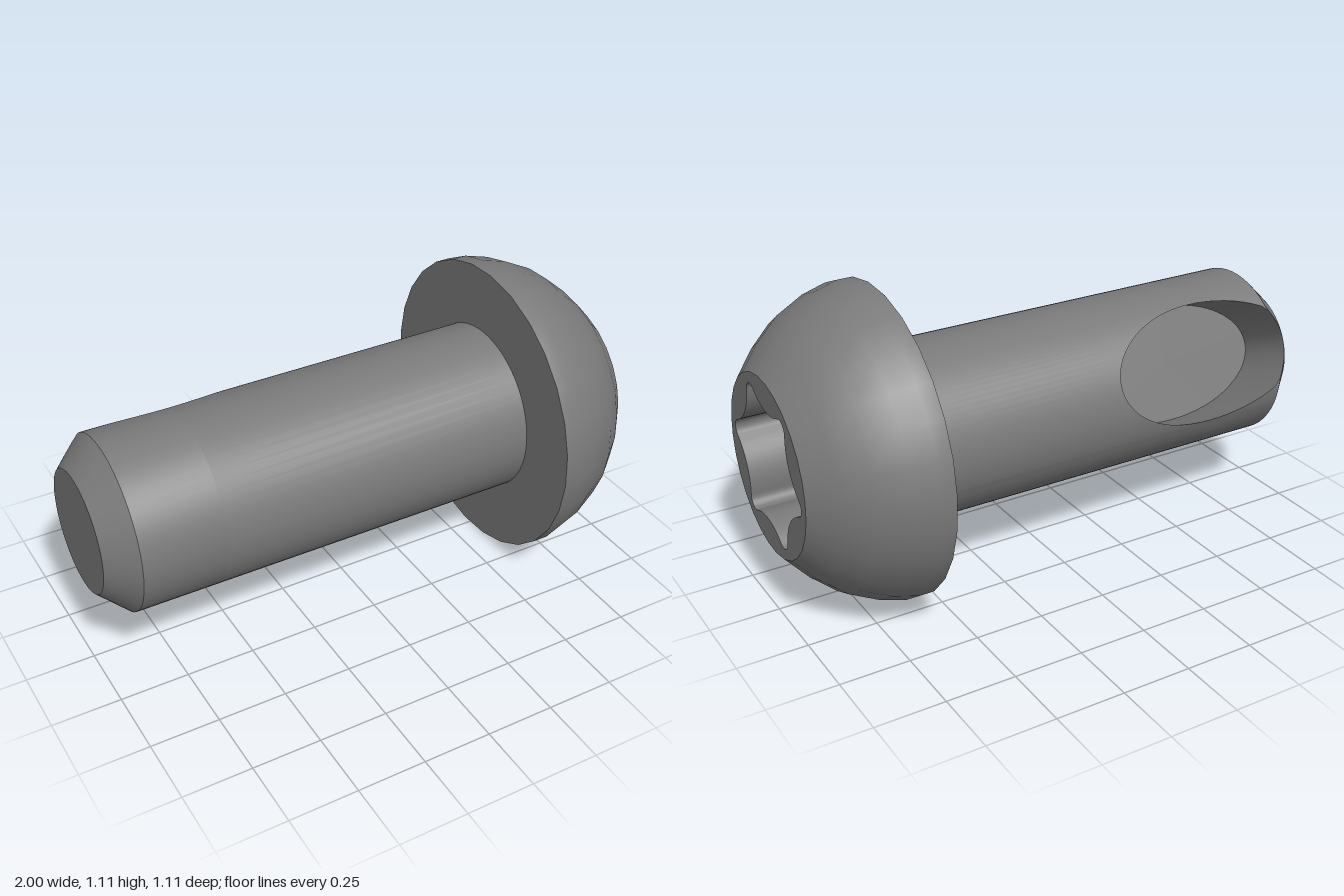
import * as THREE from 'three';

const AXIS = 0.555;               // height of the screw axis
const R = 0.315, TIP_R = 0.22;    // shank and tip radius
const TILT = Math.PI / 8;         // direction of the side pocket around the shank
const POCKET = { x: -0.6, a: 0.4, b: 0.215, floor: -0.02 };

// point from x, u (towards the pocket opening) and v (across it)
const at = (x, u, v) => new THREE.Vector3(
  x,
  AXIS + u * Math.sin(TILT) + v * Math.cos(TILT),
  -u * Math.cos(TILT) + v * Math.sin(TILT));

// closed band between two loops of points
function band(a, b) {
  const n = a.length, index = [];
  for (let i = 0; i < n; i++) {
    const j = (i + 1) % n;
    index.push(i, j, n + i, j, n + j, n + i);
  }
  const g = new THREE.BufferGeometry().setFromPoints([...a, ...b]);
  g.setIndex(index);
  g.computeVertexNormals();
  return g;
}

const radiusAt = x => (x < -0.9 ? TIP_R + (x + 1) * (R - TIP_R) / 0.1 : R);

// tip-side edge of the pocket along one line of the shank
function tipEdge(theta) {
  let lo = -1, hi = POCKET.x;
  for (let i = 0; i < 40; i++) {
    const m = (lo + hi) / 2;
    const f = ((m - POCKET.x) / POCKET.a) ** 2 + (radiusAt(m) * Math.sin(theta) / POCKET.b) ** 2;
    if (f > 1) lo = m; else hi = m;
  }
  return hi;
}

export function createModel() {
  const steel = new THREE.MeshStandardMaterial({ color: 0x7a7a7a });
  steel.name = 'dark steel';
  const model = new THREE.Group();
  model.name = 'screw';
  const add = (name, geometry) => {
    const mesh = new THREE.Mesh(geometry, steel);
    mesh.name = name;
    model.add(mesh);
  };

  // lines along the shank: first those crossing the pocket, then the rest
  const cols = [], N = 32, M = 44;
  const edge = Math.asin(POCKET.b / R);
  for (let i = 0; i <= N; i++) {
    const phi = -Math.PI / 2 + Math.PI * i / N;
    const theta = Math.asin(POCKET.b * Math.sin(phi) / R);
    cols.push({ theta, xa: tipEdge(theta), xb: POCKET.x + POCKET.a * Math.cos(phi) });
  }
  for (let i = 1; i < M; i++) {
    const theta = edge + (2 * Math.PI - 2 * edge) * i / M;
    cols.push({ theta, xa: POCKET.x, xb: POCKET.x });
  }
  const onSkin = (x, t) => at(x, radiusAt(x) * Math.cos(t), radiusAt(x) * Math.sin(t));
  const loop = f => cols.map(c => onSkin(f(c), c.theta));
  const chamferTop = c => Math.min(-0.9, c.xa);

  // shank
  add('shank', band(loop(c => c.xb), loop(() => 0.59)));
  add('shankEnd', band(loop(chamferTop), loop(c => c.xa)));
  add('chamfer', band(loop(() => -1), loop(chamferTop)));
  add('tipFace', band(cols.map(() => at(-1, 0, 0)), loop(() => -1)));

  // side pocket with an upright wall and a flat floor
  const rim = [], foot = [];
  const addRim = (x, t) => {
    rim.push(onSkin(x, t));
    foot.push(at(x, POCKET.floor, radiusAt(x) * Math.sin(t)));
  };
  for (let i = 0; i <= N; i++) addRim(cols[i].xb, cols[i].theta);
  for (let i = N - 1; i > 0; i--) addRim(cols[i].xa, cols[i].theta);
  add('pocketWall', band(foot, rim));
  add('pocketFloor', band(foot.map(() => at(POCKET.x, POCKET.floor, 0)), foot));

  // domed head
  const SIDES = 28, PHASE = 0.062;
  const turned = pts => new THREE.LatheGeometry(
    pts.map(p => new THREE.Vector2(...p)), SIDES, PHASE, Math.PI * 2)
    .rotateZ(-Math.PI / 2).translate(0, AXIS, 0);
  add('headDome', turned([[0.555, 0.59], [0.555, 0.645], [0.53, 0.735],
    [0.478, 0.84], [0.405, 0.925], [0.32, 1]]));
  add('headUnderside', turned([[0.3, 0.59], [0.555, 0.59]]));

  // six-lobed socket outline: small round lobes joined by wide hollow arcs
  const star = [];
  const arc = (dist, dir, r, from, to, steps) => {
    for (let i = 0; i < steps; i++) {
      const a = dir + from + (to - from) * i / steps;
      star.push(new THREE.Vector2(dist * Math.cos(dir) + r * Math.cos(a),
        dist * Math.sin(dir) + r * Math.sin(a)));
    }
  };
  const deg = Math.PI / 180;
  for (let k = 0; k < 6; k++) {
    const lobe = (53 + 60 * k) * deg;
    arc(0.247, lobe, 0.035, -61.7 * deg, 61.7 * deg, 8);
    arc(0.414, lobe + 30 * deg, 0.2, 211.7 * deg, 148.3 * deg, 10);
  }
  const facing = (shape, x) => new THREE.ShapeGeometry(shape)
    .rotateY(Math.PI / 2).translate(x, AXIS, 0);

  // flat head face around the socket
  const disc = [];
  for (let i = 0; i < SIDES; i++) {
    const a = PHASE + 2 * Math.PI * i / SIDES;
    disc.push(new THREE.Vector2(0.32 * Math.cos(a), 0.32 * Math.sin(a)));
  }
  const face = new THREE.Shape(disc);
  face.holes.push(new THREE.Path(star));
  add('headFace', facing(face, 1));

  // socket wall and floor
  const DEEP = 0.7;
  const starAt = x => star.map(p => new THREE.Vector3(x, AXIS + p.y, -p.x));
  add('socketWall', band(starAt(1), starAt(DEEP)));
  add('socketFloor', facing(new THREE.Shape(star), DEEP));

  return model;
}
